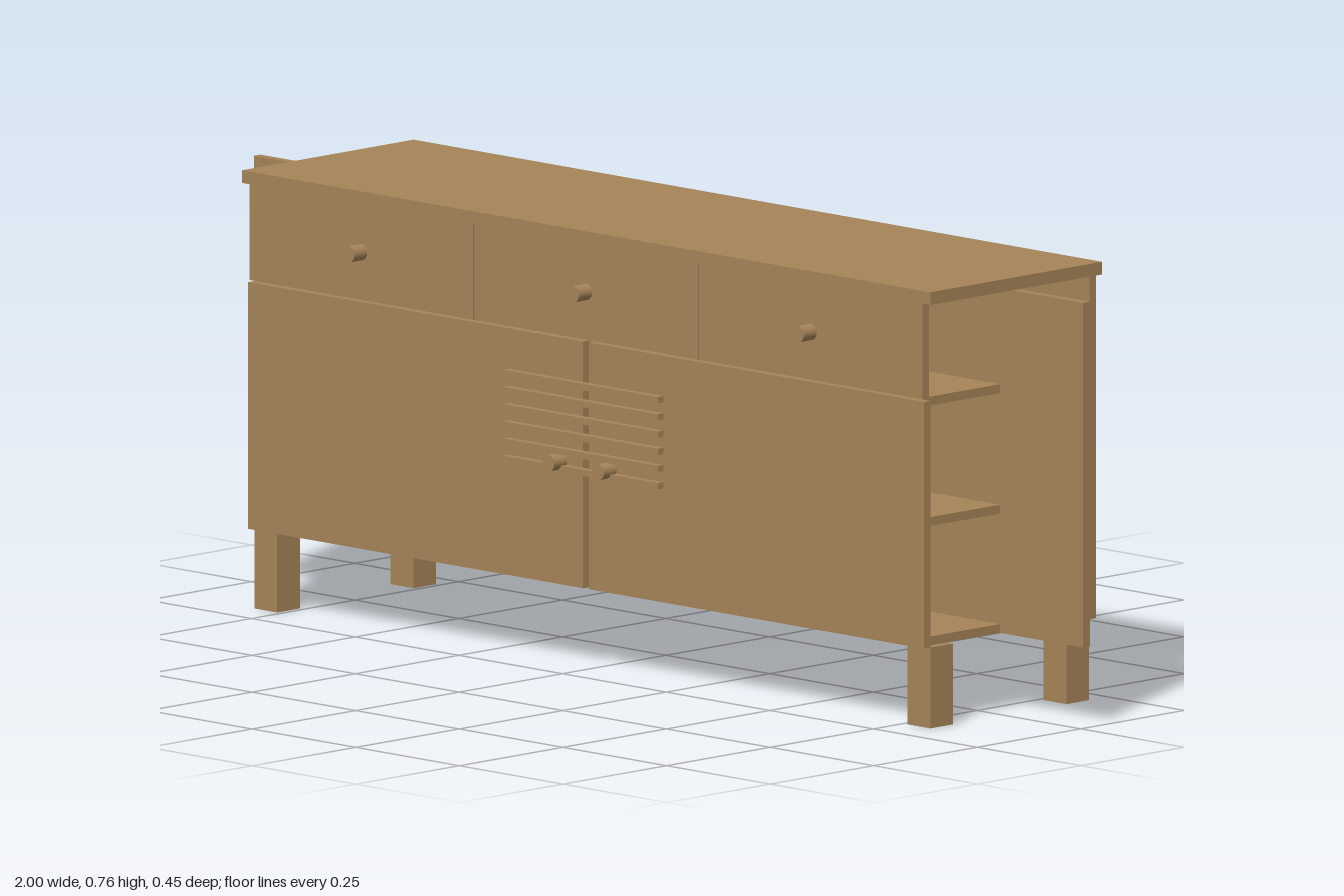
import * as THREE from 'three';

export function createModel() {
  const model = new THREE.Group();
  const wood = new THREE.MeshStandardMaterial({ color: 0xa68458 });
  wood.name = 'oak wood';

  // Box given by its extents on each axis
  const board = (name, [x0, x1], [y0, y1], [z0, z1], parent = model) => {
    const mesh = new THREE.Mesh(new THREE.BoxGeometry(x1 - x0, y1 - y0, z1 - z0), wood);
    mesh.position.set((x0 + x1) / 2, (y0 + y1) / 2, (z0 + z1) / 2);
    mesh.name = name;
    parent.add(mesh);
  };

  const knob = (x, y) => {
    const mesh = new THREE.Mesh(new THREE.CylinderGeometry(0.014, 0.014, 0.031, 32), wood);
    mesh.rotation.x = Math.PI / 2;
    mesh.position.set(x, y, 0.2085);
    mesh.name = 'knob';
    model.add(mesh);
  };

  const inside = [-0.207, 0.178];
  const front = [0.178, 0.193];

  // Carcass
  board('top', [-0.83, 0.83], [0.738, 0.76], [-0.222, 0.193]);
  board('backPanel', [-0.815, 0.815], [0.14, 0.738], [-0.222, -0.207]);
  for (const y of [0.14, 0.347, 0.556]) board('shelf', [-0.8, 0.8], [y, y + 0.0155], inside);

  // Side panels set crosswise at both ends, with a leg at each corner
  for (const s of [-1, 1]) {
    const span = (a, b) => (s > 0 ? [a, b] : [-b, -a]);
    board('sidePanel', span(0.615, 1), [0.14, 0.738], [-0.022, -0.006]);
    board('drawerDivider', span(0.264, 0.28), [0.571, 0.738], inside);
    board('frontLeg', span(0.76, 0.815), [0, 0.14], [0.123, 0.178]);
    board('backLeg', span(0.76, 0.815), [0, 0.14], [-0.206, -0.151]);
    board('door', span(0.007, 0.815), [0.14, 0.568], front);
    knob(s * 0.06, 0.354);
  }

  // Drawer fronts with knobs
  for (const i of [-1, 0, 1]) {
    const x = i * 0.542;
    board('drawerFront', [x - 0.2695, x + 0.2695], [0.572, 0.738], front);
    knob(x, 0.655);
  }

  // Open drawer boxes stacked behind the doors
  for (const y of [0.272, 0.43, 0.588]) {
    const box = new THREE.Group();
    box.name = 'drawerBox';
    board('drawerBottom', [-0.255, 0.255], [y, y + 0.004], [-0.19, 0.162], box);
    for (const x of [-0.255, 0.24]) board('drawerSide', [x, x + 0.015], [y + 0.004, y + 0.14], [-0.19, 0.162], box);
    for (const z of [-0.19, 0.147]) board('drawerEnd', [-0.24, 0.24], [y + 0.004, y + 0.14], [z, z + 0.015], box);
    model.add(box);
  }

  // Decorative slats across the doors
  for (let i = 0; i < 6; i++) {
    const y = 0.338 + i * 0.0298;
    board('slat', [-0.187, 0.187], [y, y + 0.011], [0.193, 0.207]);
  }

  return model;
}
